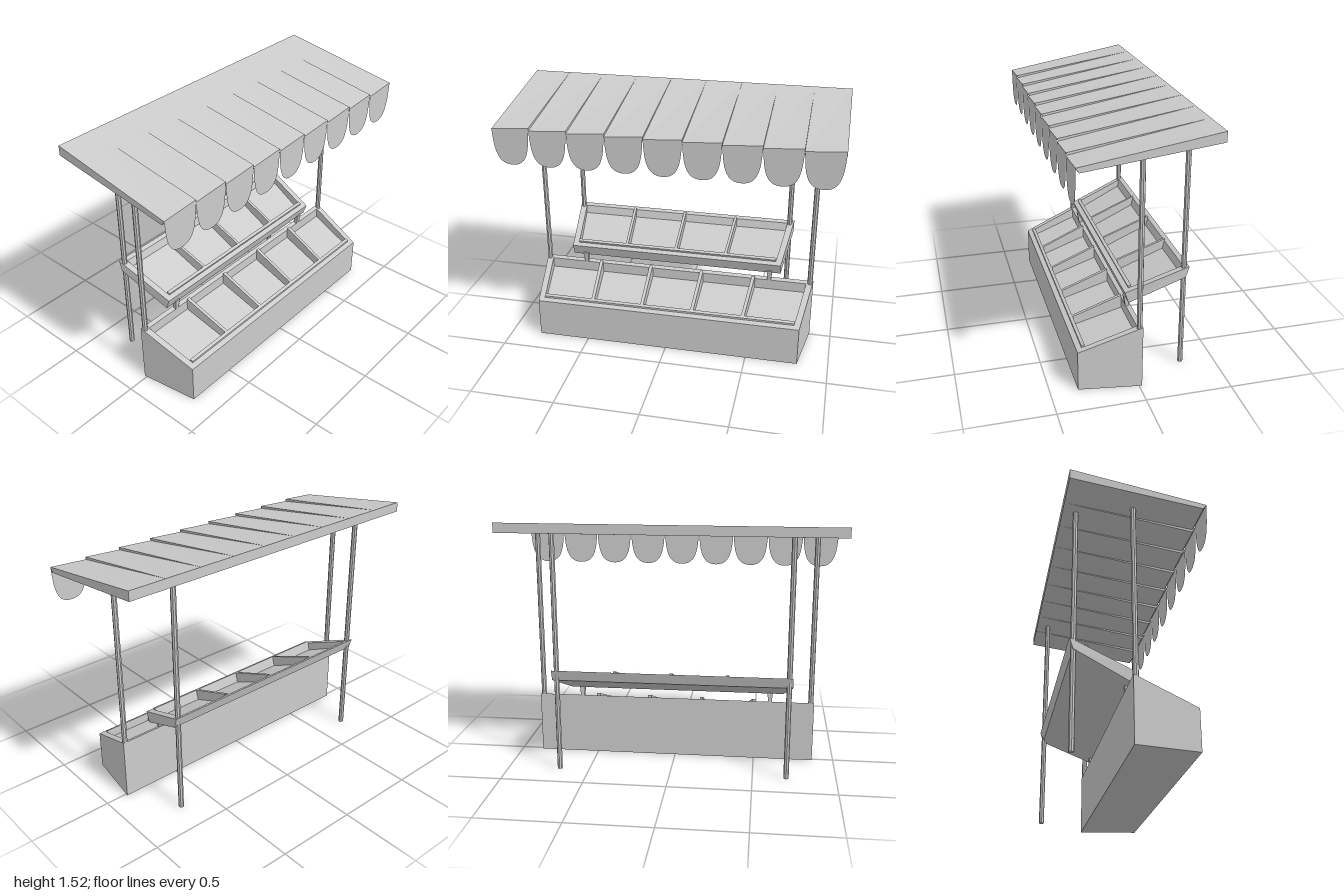
import * as THREE from 'three';

const lerp = THREE.MathUtils.lerp;
const grey = new THREE.MeshStandardMaterial({ color: 0xcccccc, flatShading: true });
const cloth = new THREE.MeshStandardMaterial({ color: 0xcccccc, side: THREE.DoubleSide });

// Box spanning u (left-right), h (height) and v (front 0 to back 1), bent into place by map(u, v, h)
function warpedBox(name, u, v, h, map) {
  const geo = new THREE.BoxGeometry(1, 1, 1);
  const p = geo.attributes.position;
  for (let i = 0; i < p.count; i++) {
    const q = map(
      lerp(u[0], u[1], p.getX(i) + 0.5),
      lerp(v[0], v[1], 0.5 - p.getZ(i)),
      lerp(h[0], h[1], p.getY(i) + 0.5));
    p.setXYZ(i, q[0], q[1], q[2]);
  }
  geo.computeVertexNormals();
  const mesh = new THREE.Mesh(geo, grey);
  mesh.name = name;
  return mesh;
}

// Open display tray: h = 0 is its underside, h = 1 its rim
function makeTray(name, map, { floor, lip, bays, rim }) {
  const tray = new THREE.Group();
  tray.name = name;
  const inner = 1 - rim;
  const add = (part, u, v, h) => tray.add(warpedBox(part, u, v, h, map));
  add('frontWall', [-1, 1], [0, 0.08], [0, 1]);
  add('backWall', [-1, 1], [0.93, 1], [0, 1]);
  for (const s of [-1, 1]) {
    add('sideWall', s < 0 ? [-1, -inner] : [inner, 1], [0.08, 0.93], [0, 1]);
  }
  add('trayFloor', [-inner, inner], [0.08, 0.93], [0, floor]);
  add('frontLip', [-inner, inner], [0.08, 0.13], [floor, lip]);
  for (let i = 1; i < bays; i++) {
    const c = -inner + (2 * inner * i) / bays;
    add('divider', [c - 0.012, c + 0.012], [0.13, 0.93], [floor, lip]);
  }
  return tray;
}

function makePost(name, x, z, height) {
  const post = new THREE.Mesh(new THREE.CylinderGeometry(0.016, 0.016, height, 8), grey);
  post.name = name;
  post.position.set(x, height / 2, z);
  return post;
}

export function createModel() {
  const stall = new THREE.Group();
  stall.name = 'marketStall';

  // Counter: wedge with a sloping top, wider at the back
  stall.add(makeTray('counter', (u, v, h) => [
    u * lerp(0.815, 0.868, v),
    h * lerp(0.24, 0.38, v),
    lerp(0.342, -0.016, v),
  ], { floor: 0.83, lip: 1.045, bays: 5, rim: 0.045 }));

  // Upper shelf: shallow tilted tray
  stall.add(makeTray('upperShelf', (u, v, h) => [
    -0.007 + u * lerp(0.67, 0.717, v),
    lerp(0.425, 0.57, v) + 0.065 * h,
    lerp(0.008, -0.306, v) + (0.5 - v) * 0.005 + h * lerp(0.022, -0.02, v),
  ], { floor: 0.25, lip: 1.18, bays: 4, rim: 0.055 }));

  // Small feet carrying the shelf on the counter
  for (const x of [-0.595, 0.595]) {
    stall.add(warpedBox('shelfFoot', [-1, 1], [0, 1], [0, 1], (u, v, h) => [
      x + u * lerp(0.011, 0.017, h),
      lerp(0.37, 0.44, h),
      lerp(lerp(0.012, 0.024, h), -0.008, v),
    ]));
  }

  // Posts
  for (const s of [-1, 1]) {
    stall.add(makePost('frontPost', s * 0.848, 0, 1.42));
    stall.add(makePost('rearPost', -0.01 + s * 0.692, -0.305, 1.46));
  }

  // Awning: nine strips, each twisted a little so the front steps at the seams
  const awning = new THREE.Group();
  awning.name = 'awning';
  const count = 9, width = 2 / count;
  const frontY = (u) => lerp(1.382, 1.397, u);
  for (let i = 0; i < count; i++) {
    const x0 = -1 + i * width;
    awning.add(warpedBox('awningStrip', [0, 1], [0, 1], [0, 1], (u, v, h) => [
      x0 + u * width,
      lerp(frontY(u), 1.518, v) - (1 - h) * lerp(0.028, 0.058, v),
      lerp(lerp(0.364, 0.381, h), -0.381, v),
    ]));

    // Rounded flap hanging from the front edge
    const shape = new THREE.Shape();
    shape.moveTo(0, frontY(0));
    shape.lineTo(0.002, 1.36);
    shape.bezierCurveTo(0.008, 1.235, 0.03, 1.17, width / 2, 1.17);
    shape.bezierCurveTo(width - 0.03, 1.17, width - 0.008, 1.235, width - 0.002, 1.36);
    shape.lineTo(width, frontY(1));
    const flap = new THREE.Mesh(new THREE.ShapeGeometry(shape, 10), cloth);
    flap.name = 'scallopFlap';
    flap.position.set(x0, 0, 0.381);
    awning.add(flap);
  }
  stall.add(awning);
  return stall;
}
